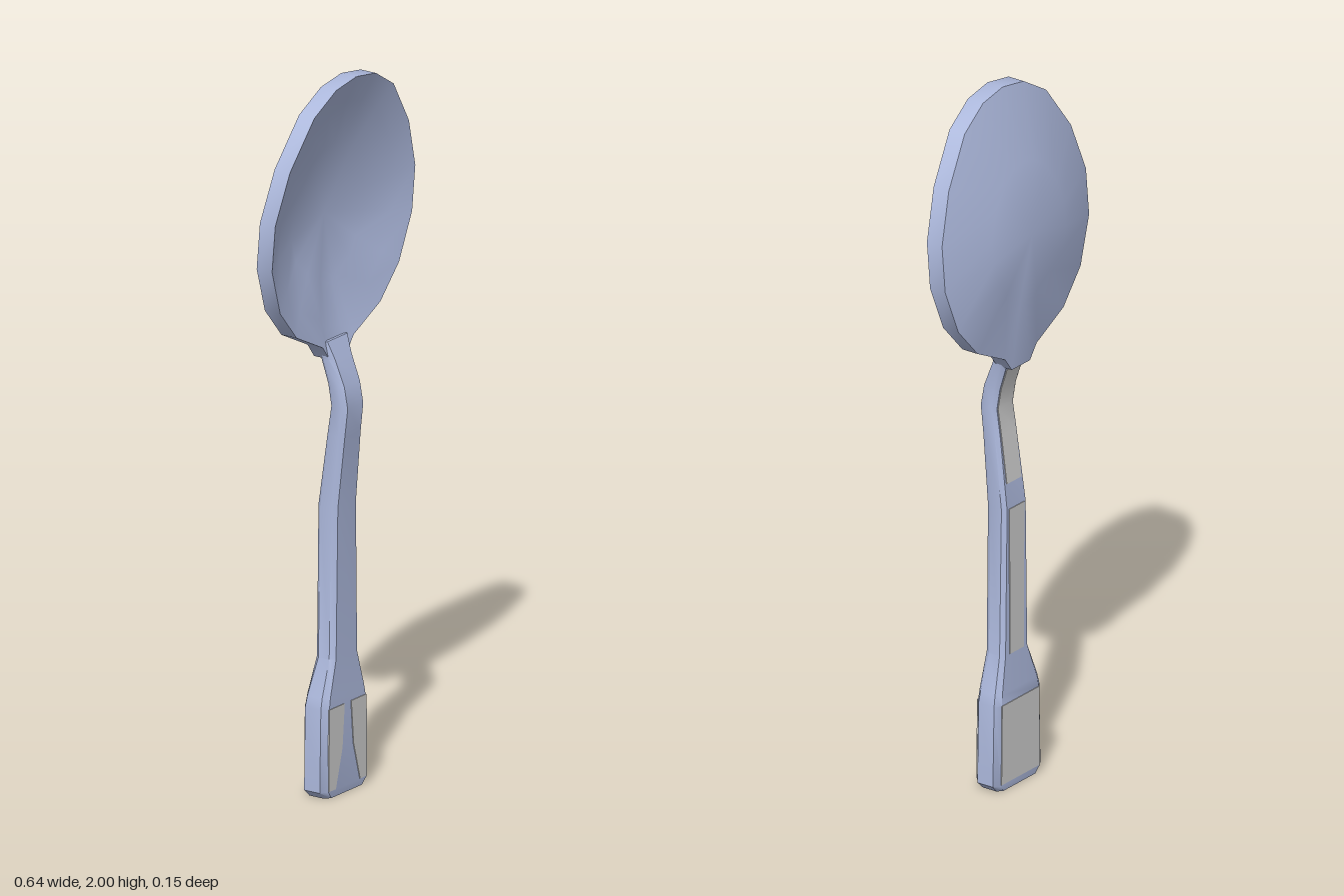
import * as THREE from 'three';
import { toCreasedNormals } from 'three/addons/utils/BufferGeometryUtils.js';

const blue = new THREE.MeshStandardMaterial({ color: 0xacb8dc });
const grey = new THREE.MeshStandardMaterial({ color: 0xcccccc });

// Skins a list of equal-length rings; the end rings are closed with a fan.
function loft(name, rings, material, crease = 0.6) {
  const pos = [];
  const tri = (a, b, c) => {
    const area = new THREE.Triangle(
      new THREE.Vector3(...a), new THREE.Vector3(...b), new THREE.Vector3(...c)).getArea();
    if (area > 1e-9) pos.push(...a, ...b, ...c);
  };
  const middle = (ring) => [0, 1, 2].map((k) => ring.reduce((s, p) => s + p[k], 0) / ring.length);
  const all = [rings[0], ...rings, rings[rings.length - 1]];
  const n = rings[0].length;
  all[0] = Array(n).fill(middle(rings[0]));
  all[all.length - 1] = Array(n).fill(middle(rings[rings.length - 1]));
  for (let i = 0; i < all.length - 1; i++) {
    for (let j = 0; j < n; j++) {
      const k = (j + 1) % n;
      tri(all[i][j], all[i][k], all[i + 1][j]);
      tri(all[i][k], all[i + 1][k], all[i + 1][j]);
    }
  }
  const geo = new THREE.BufferGeometry();
  geo.setAttribute('position', new THREE.Float32BufferAttribute(pos, 3));
  const mesh = new THREE.Mesh(toCreasedNormals(geo, crease), material);
  mesh.name = name;
  return mesh;
}

// Handle sections: height, half width, front z, back z
const sections = [
  [0, 0.085, 0.042, -0.03], [0.02, 0.105, 0.045, -0.033], [0.25, 0.1, 0.045, -0.033],
  [0.28, 0.093, 0.044, -0.031], [0.38, 0.058, 0.042, -0.02], [0.8, 0.05, 0.043, -0.02],
  [1.0, 0.044, 0.062, 0.006], [1.08, 0.043, 0.071, 0.018], [1.14, 0.043, 0.06, 0.008],
  [1.21, 0.045, 0.032, -0.014], [1.26, 0.055, 0.012, -0.03],
];

function handleZ(y, column) {
  const i = Math.max(1, sections.findIndex((s) => s[0] >= y));
  const [a, b] = [sections[i - 1], sections[i]];
  return THREE.MathUtils.lerp(a[column], b[column], (y - a[0]) / (b[0] - a[0]));
}

// Chamfered bar following the handle's curve
function makeHandle() {
  const rings = sections.map(([y, w, f, b]) => {
    const c = 0.82 * w;
    return [[-c, f], [c, f], [w, f - 0.015], [w, b + 0.012],
      [c, b], [-c, b], [-w, b + 0.012], [-w, f - 0.015]].map(([x, z]) => [x, y, z]);
  });
  return loft('handle', rings, blue);
}

// Thin inlay on the front or back of the handle; rows are [height, x from, x to]
function inlay(name, rows, front) {
  const rings = rows.map(([y, x0, x1]) => {
    const z = handleZ(y, front ? 2 : 3);
    const [f, b] = [z + 0.002, z - 0.002];
    return [[x0, y, f], [x1, y, f], [x1, y, b], [x0, y, b]];
  });
  return loft(name, rings, grey);
}

// Faceted oval dish with a thick rim
function makeBowl() {
  const half = [[0.09, 1.985], [0.18, 1.93], [0.27, 1.8], [0.318, 1.66], [0.318, 1.53],
    [0.27, 1.4], [0.19, 1.31], [0.07, 1.25], [0.04, 1.21]];
  const outline = [[0, 2], ...half, ...half.map(([x, y]) => [-x, y]).reverse()];
  const cy = 1.6;
  const ring = (s, thickness, depth) => outline.map(([ox, oy]) => {
    const y = cy + s * (oy - cy);
    const rim = 0.015 + 0.06 * Math.max(0, (y - 1.25) / 0.75) ** 1.6;
    const d = y < 1.5 ? 0.75 * depth : depth;
    return [ox * s, y, rim - thickness - d];
  });
  return loft('bowl', [
    ring(0, 0, 0.065), ring(0.5, 0, 0.052), ring(0.8, 0, 0.024), ring(1, 0, 0),
    ring(1, 0.05, 0), ring(0.5, 0.05, 0.044), ring(0, 0.05, 0.056),
  ], blue);
}

export function createModel() {
  const group = new THREE.Group();
  group.name = 'spoon';
  group.add(makeBowl(), makeHandle());

  // Front grip panels, wider towards the top
  const panel = [[0.022, 0.055, 0.086], [0.13, 0.025, 0.086], [0.25, 0.015, 0.084]];
  group.add(inlay('leftGripPanel', panel, true));
  group.add(inlay('rightGripPanel', panel.map(([y, a, b]) => [y, -b, -a]), true));

  // Back panels along the handle
  group.add(inlay('backGripPanel', [[0.022, -0.085, 0.085], [0.25, -0.082, 0.082]], false));
  group.add(inlay('backStrip', [[0.38, -0.03, 0.03], [0.8, -0.033, 0.033]], false));
  group.add(inlay('backNeckStrip',
    [0.87, 1.0, 1.08, 1.14, 1.2].map((y) => [y, -0.032, 0.032]), false));
  return group;
}
